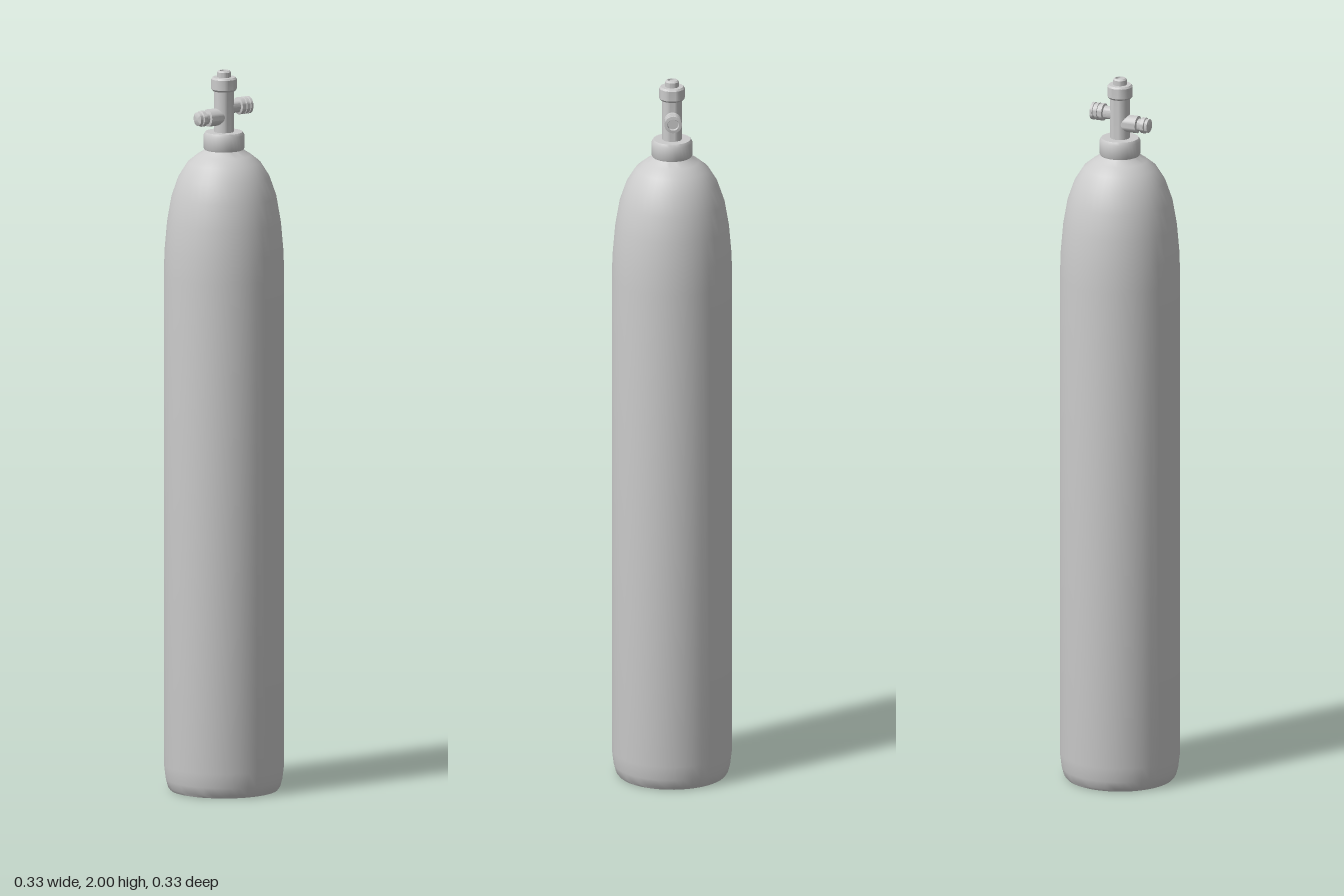
import * as THREE from 'three';
import { toCreasedNormals } from 'three/addons/utils/BufferGeometryUtils.js';

const material = new THREE.MeshStandardMaterial({ color: 0xcccccc });

// Turns a [radius, height] profile (bottom to top) around the y axis.
function lathe(name, profile, segments, crease = 0.6) {
  const points = profile.map(([r, y]) => new THREE.Vector2(r, y));
  const geometry = toCreasedNormals(new THREE.LatheGeometry(points, segments), crease);
  const mesh = new THREE.Mesh(geometry, material);
  mesh.name = name;
  return mesh;
}

export function createModel() {
  const model = new THREE.Group();
  model.name = 'gasCylinder';

  // Tank with rounded base and domed shoulder
  model.add(lathe('tank', [
    [0, 0], [0.148, 0], [0.154, 0.008], [0.16, 0.03], [0.165, 0.07],
    [0.165, 1.43], [0.163, 1.5], [0.156, 1.58], [0.144, 1.65],
    [0.125, 1.705], [0.1, 1.745], [0.074, 1.766], [0.058, 1.776], [0.05, 1.785],
  ], 40, 0.8));

  // Neck collar
  model.add(lathe('neckCollar', [
    [0.05, 1.775], [0.056, 1.785], [0.056, 1.822], [0.051, 1.83], [0, 1.83],
  ], 32));

  const valve = new THREE.Group();
  valve.name = 'valve';
  model.add(valve);

  // Upright valve stem, cap and top nub
  valve.add(lathe('valveStem', [[0, 1.82], [0.027, 1.82], [0.027, 1.95], [0, 1.95]], 24));
  valve.add(lathe('valveCap', [
    [0, 1.944], [0.031, 1.944], [0.035, 1.949], [0.035, 1.977], [0.031, 1.982], [0, 1.982],
  ], 24));
  valve.add(lathe('topNub', [
    [0.019, 1.98], [0.019, 1.996], [0.015, 2], [0.012, 2], [0.011, 1.996], [0, 1.996],
  ], 20));

  // Stepped outlet on the right side
  const outlet = lathe('outlet', [
    [0, 0], [0.024, 0], [0.024, 0.054], [0.017, 0.056], [0.017, 0.066],
    [0.022, 0.067], [0.022, 0.077], [0.019, 0.079], [0.019, 0.087], [0.016, 0.089], [0, 0.089],
  ], 24);
  outlet.position.y = 1.873;
  outlet.rotation.z = Math.PI / 2;
  valve.add(outlet);

  // Ribbed connector on the left side
  const connector = lathe('connector', [
    [0, 0], [0.018, 0], [0.018, 0.044], [0.024, 0.046], [0.024, 0.055],
    [0.022, 0.056], [0.022, 0.06], [0.024, 0.061], [0.024, 0.068],
    [0.022, 0.069], [0.022, 0.073], [0.024, 0.074], [0.024, 0.081],
    [0.016, 0.082], [0.014, 0.076], [0, 0.076],
  ], 24);
  connector.position.y = 1.897;
  connector.rotation.z = -Math.PI / 2;
  valve.add(connector);

  return model;
}
